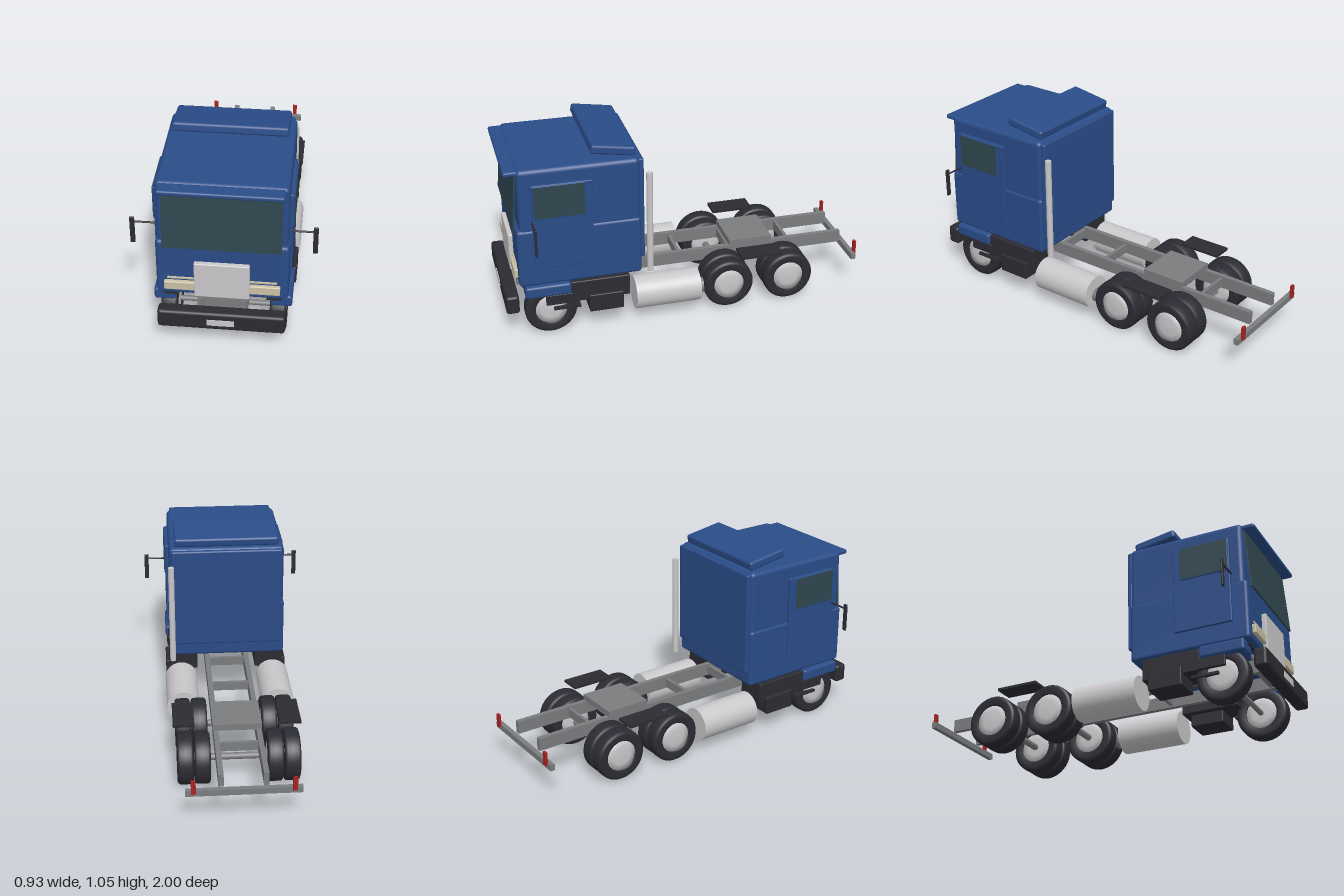
import * as THREE from 'three';
import { RoundedBoxGeometry } from 'three/addons/geometries/RoundedBoxGeometry.js';

const mat = (name, color, side = THREE.FrontSide) => {
  const m = new THREE.MeshStandardMaterial({ color, side });
  m.name = name;
  return m;
};

export function createModel() {
  const truck = new THREE.Group();
  truck.name = 'cabOverTruck';
  const blue = mat('blue paint', 0x2a4c88);
  const dark = mat('dark plastic', 0x2b2b32);
  const tyreMat = mat('tyre rubber', 0x2b2b33);
  const grey = mat('chassis grey', 0x7b7c7e);
  const silver = mat('bright metal', 0xc9c7c9);
  const glass = mat('tinted glass', 0x2f464e);
  const beige = mat('lamp cream', 0xc9c0a4);
  const red = mat('lamp red', 0xa82222);

  const put = (name, geo, m, x, y, z, parent = truck) => {
    const mesh = new THREE.Mesh(geo, m);
    mesh.name = name;
    mesh.position.set(x, y, z);
    parent.add(mesh);
    return mesh;
  };
  // Boxes are given by their extents; r > 0 rounds the edges
  const box = (name, m, [x0, x1], [y0, y1], [z0, z1], r = 0) => {
    const s = [x1 - x0, y1 - y0, z1 - z0];
    const geo = r ? new RoundedBoxGeometry(...s, 3, r) : new THREE.BoxGeometry(...s);
    return put(name, geo, m, (x0 + x1) / 2, (y0 + y1) / 2, (z0 + z1) / 2);
  };
  const pair = (name, m, [x0, x1], y, z, r) => {
    box(name + 'Left', m, [x0, x1], y, z, r);
    box(name + 'Right', m, [-x1, -x0], y, z, r);
  };
  const rod = (name, m, r, len, axis, x, y, z, seg = 32) => {
    const geo = new THREE.CylinderGeometry(r, r, len, seg);
    if (axis === 'x') geo.rotateZ(Math.PI / 2);
    if (axis === 'z') geo.rotateX(Math.PI / 2);
    return put(name, geo, m, x, y, z);
  };

  // Cab shell
  box('cabLower', blue, [-0.33, 0.33], [0.305, 0.633], [0.262, 0.918], 0.018);
  box('cabUpper', blue, [-0.324, 0.324], [0.61, 0.97], [0.262, 0.9], 0.024);
  box('cabBackPanel', blue, [-0.312, 0.312], [0.385, 0.962], [0.24, 0.27], 0.01);
  box('sunVisor', blue, [-0.306, 0.306], [0.937, 0.963], [0.87, 0.963], 0.01);
  const deflector = put('roofDeflector', new RoundedBoxGeometry(0.586, 0.05, 0.235, 3, 0.014),
    blue, 0, 1.014, 0.393);
  deflector.rotation.x = -0.155;
  const windshield = put('windshield', new THREE.BoxGeometry(0.588, 0.335, 0.009),
    glass, 0, 0.773, 0.916);
  windshield.rotation.x = -0.078;

  // Doors and side windows
  pair('door', blue, [0.31, 0.341], [0.41, 0.89], [0.517, 0.833], 0.005);
  pair('windowFrame', blue, [0.31, 0.346], [0.7, 0.887], [0.555, 0.826], 0.004);
  pair('sideWindow', glass, [0.343, 0.3485], [0.706, 0.883], [0.56, 0.822]);

  // Grille, headlamps and bumper
  box('grille', silver, [-0.138, 0.138], [0.312, 0.52], [0.9, 0.942], 0.006);
  pair('headlamp', beige, [0.135, 0.29], [0.344, 0.395], [0.9, 0.938], 0.006);
  pair('indicatorStrip', beige, [0.138, 0.273], [0.408, 0.416], [0.912, 0.926]);
  box('bumper', dark, [-0.322, 0.322], [0.144, 0.248], [0.924, 0.995], 0.016);
  box('numberPlate', silver, [-0.07, 0.068], [0.176, 0.211], [0.992, 0.999]);

  // Front wings and lower equipment
  pair('wing', blue, [0.24, 0.35], [0.238, 0.305], [0.648, 0.892], 0.014);
  pair('wingLiner', dark, [0.22, 0.297], [0.284, 0.292], [0.65, 0.9]);
  pair('sideLocker', dark, [0.17, 0.335], [0.18, 0.3], [0.33, 0.65], 0.006);
  pair('lockerFront', dark, [0.322, 0.342], [0.18, 0.24], [0.64, 0.785], 0.005);
  pair('stepBox', dark, [0.2, 0.354], [0.113, 0.215], [0.37, 0.555], 0.006);
  pair('entryStep', dark, [0.26, 0.336], [0.143, 0.157], [0.6, 0.745]);

  // Mirrors
  for (const s of [-1, 1]) {
    rod('mirrorArm', dark, 0.005, 0.13, 'x', s * 0.395, 0.68, 0.835, 10);
    put('mirror', new RoundedBoxGeometry(0.025, 0.156, 0.011, 2, 0.004), dark, s * 0.453, 0.629, 0.835);
  }

  // Exhaust stack, side tanks and tail pipe
  rod('exhaustStack', silver, 0.017, 0.58, 'y', 0.315, 0.592, 0.213);
  for (const s of [-1, 1]) rod('sideTank', silver, 0.092, 0.36, 'z', s * 0.268, 0.148, 0.116, 48);
  rod('tailPipe', grey, 0.04, 0.05, 'z', 0.262, 0.13, -0.08);

  // Ladder frame
  pair('frameRail', grey, [0.1, 0.127], [0.205, 0.275], [-0.955, 0.912]);
  for (const z of [-0.64, -0.29, 0, 0.3, 0.6])
    box('crossMember', grey, [-0.102, 0.102], [0.215, 0.265], [z - 0.009, z + 0.009]);
  box('frontCrossMember', grey, [-0.127, 0.127], [0.21, 0.27], [0.86, 0.9]);
  box('cabMount', grey, [-0.135, 0.135], [0.28, 0.308], [0.85, 0.91]);
  box('rearCrossbar', grey, [-0.293, 0.293], [0.175, 0.208], [-0.988, -0.962]);
  pair('tailLamp', red, [0.24, 0.264], [0.195, 0.27], [-1, -0.986]);

  // Coupling plate and rear wheel covers
  box('couplingPlate', grey, [-0.13, 0.13], [0.27, 0.306], [-0.535, -0.29]);
  pair('wheelCover', dark, [0.225, 0.338], [0.296, 0.31], [-0.533, -0.298]);

  // Wheels: rounded tyre with a shallow domed hub on each face
  const h = 0.042;
  const tyre = new THREE.LatheGeometry([
    [0.084, -h + 0.008], [0.09, -h], [0.122, -h], [0.133, -h + 0.004], [0.139, -h + 0.013],
    [0.14, 0], [0.139, h - 0.013], [0.133, h - 0.004], [0.122, h], [0.09, h], [0.084, h - 0.008],
  ].map(p => new THREE.Vector2(...p)), 48).rotateZ(-Math.PI / 2);
  const hub = new THREE.LatheGeometry([
    [0, -h + 0.001], [0.05, -h + 0.003], [0.087, -h + 0.009],
    [0.087, h - 0.009], [0.05, h - 0.003], [0, h - 0.001],
  ].map(p => new THREE.Vector2(...p)), 40).rotateZ(-Math.PI / 2);
  const wheel = (name, x, z) => {
    const g = new THREE.Group();
    g.name = name;
    g.position.set(x, 0.14, z);
    put('tyre', tyre, tyreMat, 0, 0, 0, g);
    put('hub', hub, silver, 0, 0, 0, g);
    truck.add(g);
  };
  for (const s of [-1, 1]) {
    wheel('frontWheel', s * 0.278, 0.757);
    for (const z of [-0.233, -0.578]) {
      wheel('outerRearWheel', s * 0.279, z);
      wheel('innerRearWheel', s * 0.19, z);
    }
  }

  // Axles
  rod('frontAxle', grey, 0.014, 0.5, 'x', 0, 0.137, 0.757, 20);
  for (const z of [-0.233, -0.578]) rod('rearAxle', grey, 0.018, 0.34, 'x', 0, 0.14, z, 20);

  return truck;
}
